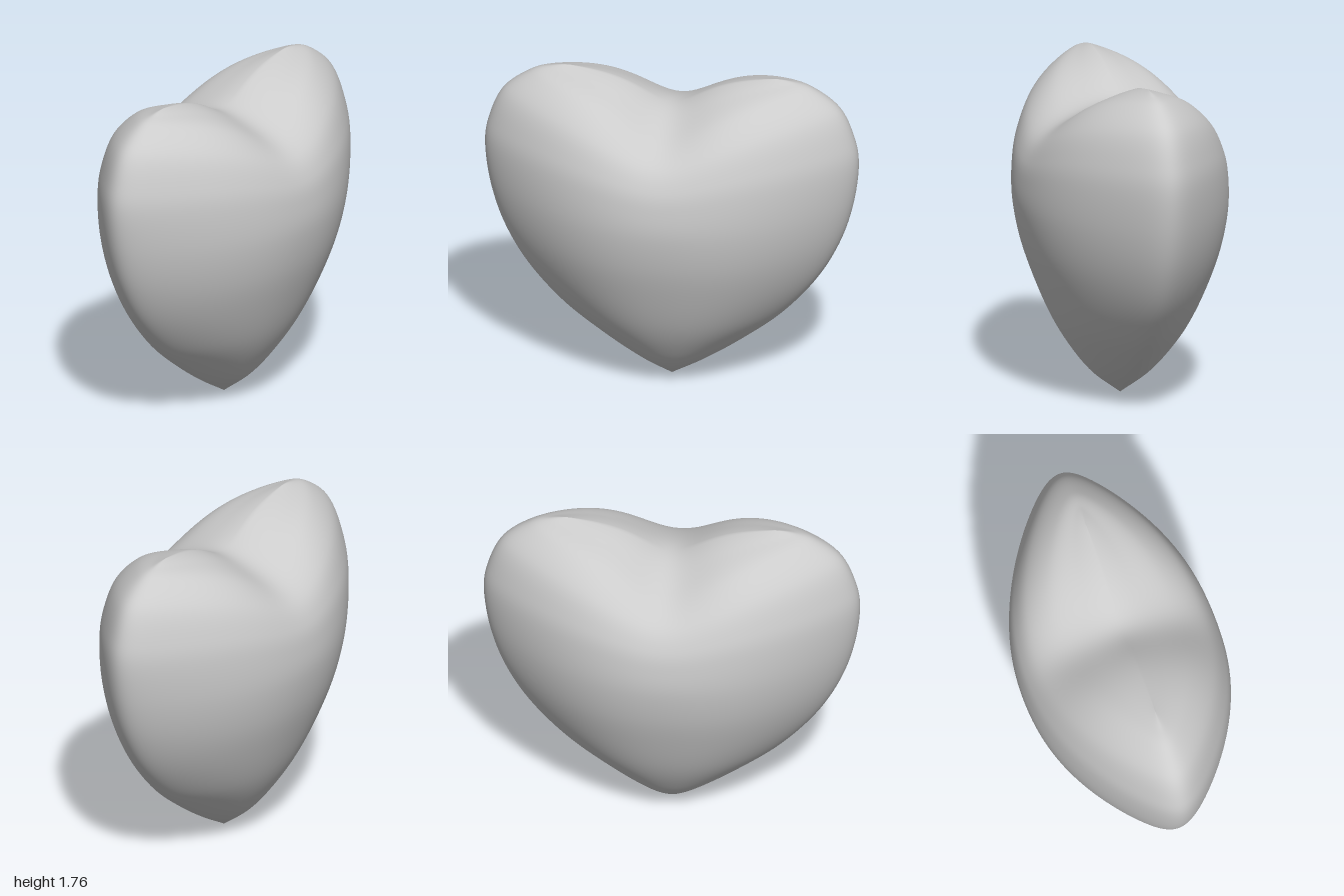
import * as THREE from 'three';
import { mergeVertices } from 'three/addons/utils/BufferGeometryUtils.js';
import { ParametricGeometry } from 'three/addons/geometries/ParametricGeometry.js';

// Slices from the tip upwards: height and depth at the middle, then half width and height at the side.
// The last one lies beyond the top seam and only levels the surface there.
const SLICES = [
  [0, 0, 0, 0],
  [0.115, 0.15, 0.2, 0.115],
  [0.25, 0.26, 0.4, 0.25],
  [0.41, 0.355, 0.6, 0.41],
  [0.61, 0.44, 0.775, 0.61],
  [0.82, 0.51, 0.895, 0.82],
  [1.02, 0.547, 0.968, 1.04],
  [1.17, 0.545, 1, 1.27],
  [1.29, 0.52, 0.98, 1.43],
  [1.4, 0.455, 0.905, 1.6],
  [1.49, 0.33, 0.76, 1.712],
  [1.565, 0.15, 0.65, 1.748],
  [1.59, 0, 0.55, 1.76],
  [1.565, -0.15, 0.45, 1.75],
];

const spline = (points) => new THREE.CatmullRomCurve3(points, false, 'catmullrom');
const middle = spline(SLICES.map(([y, depth]) => new THREE.Vector3(0, y, depth)));
const side = spline(SLICES.map(([, , width, y]) => new THREE.Vector3(width, y, 0)));
const TOP = (SLICES.length - 2) / (SLICES.length - 1);

// u runs round a slice, v from the tip to the top seam
function heartSurface(u, v, target) {
  const m = middle.getPoint(v * TOP);
  const s = side.getPoint(v * TOP);
  const angle = u * Math.PI * 2;
  const x = Math.cos(angle);
  // Flat front, straight flanks, rounded side edges
  const z = -Math.sin(angle) * (1 - 0.4 * Math.pow(Math.abs(x), 2.5));
  // Each slice sags in the middle, which forms the cleft between the lobes
  const rise = (1.2 * x * x) / (x * x + 0.2);
  target.set(s.x * x, m.y + (s.y - m.y) * rise, m.z * z);
}

export function createModel() {
  const group = new THREE.Group();
  group.name = 'heart';

  // Weld the seams so the shading is smooth all round
  const surface = new ParametricGeometry(heartSurface, 144, 96);
  surface.deleteAttribute('normal');
  surface.deleteAttribute('uv');
  const geometry = mergeVertices(surface, 1e-5);
  geometry.computeVertexNormals();

  const body = new THREE.Mesh(geometry, new THREE.MeshStandardMaterial({ color: 0xcccccc }));
  body.name = 'heartBody';
  group.add(body);
  return group;
}
